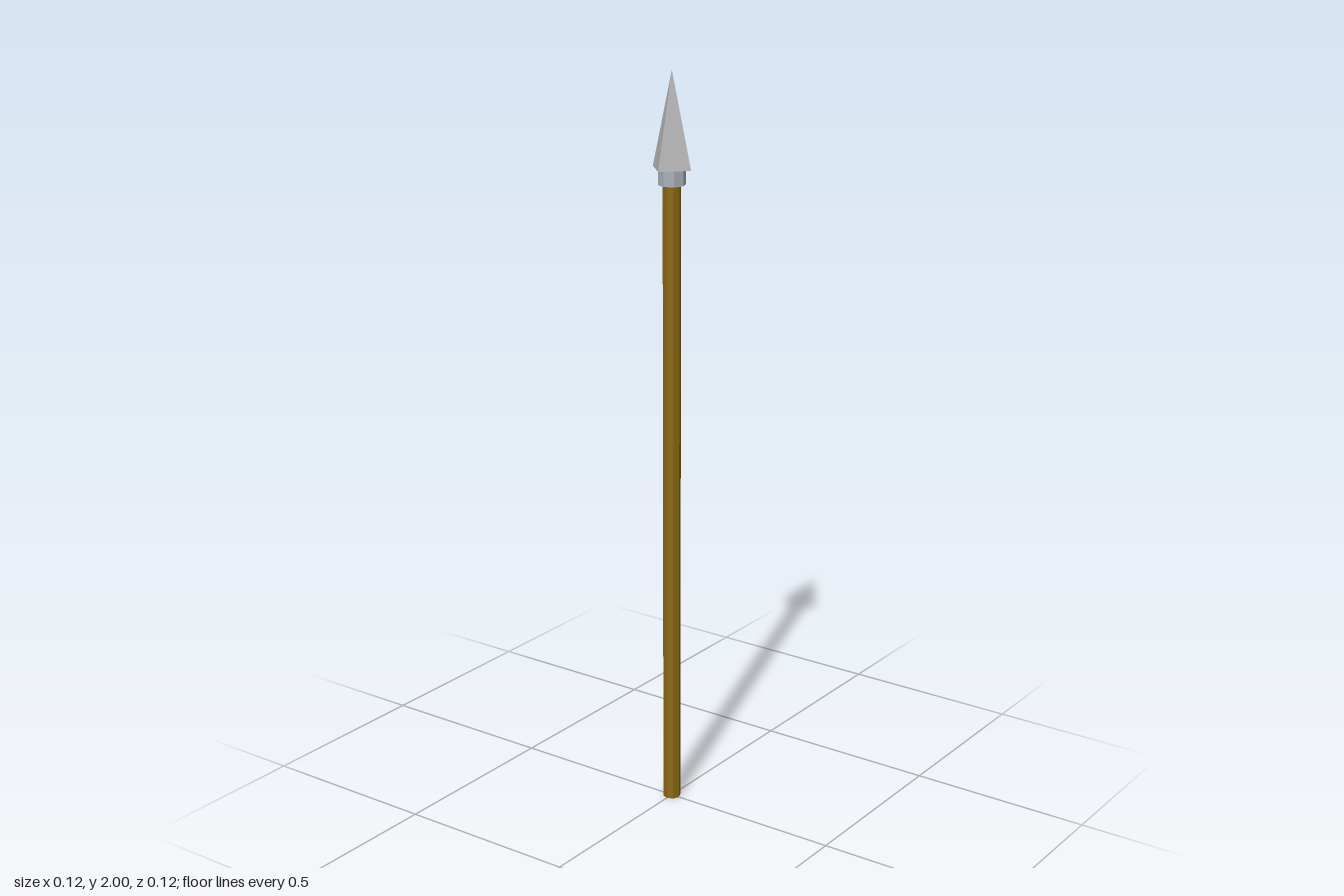
import * as THREE from 'three';

export function createModel() {
  const group = new THREE.Group();
  group.name = 'spear';

  const material = (name, color) => {
    const m = new THREE.MeshStandardMaterial({ color, flatShading: true });
    m.name = name;
    return m;
  };
  const wood = material('wood', 0x8b6914);
  const steel = material('steel', 0xb4b4b4);
  const collarSteel = material('collar steel', 0xa8b0b8);

  // Upright part standing between two heights
  const addPart = (name, rTop, rBottom, y0, y1, sides, mat) => {
    const mesh = new THREE.Mesh(new THREE.CylinderGeometry(rTop, rBottom, y1 - y0, sides), mat);
    mesh.name = name;
    mesh.position.y = (y0 + y1) / 2;
    group.add(mesh);
  };

  // Long wooden pole
  addPart('shaft', 0.0237, 0.0237, 0, 1.75, 8, wood);
  // Metal ring under the point
  addPart('collar', 0.0355, 0.0355, 1.71, 1.755, 8, collarSteel);
  // Four-sided point with ridges on the axes
  addPart('spearhead', 0, 0.0593, 1.752, 2, 4, steel);

  return group;
}
